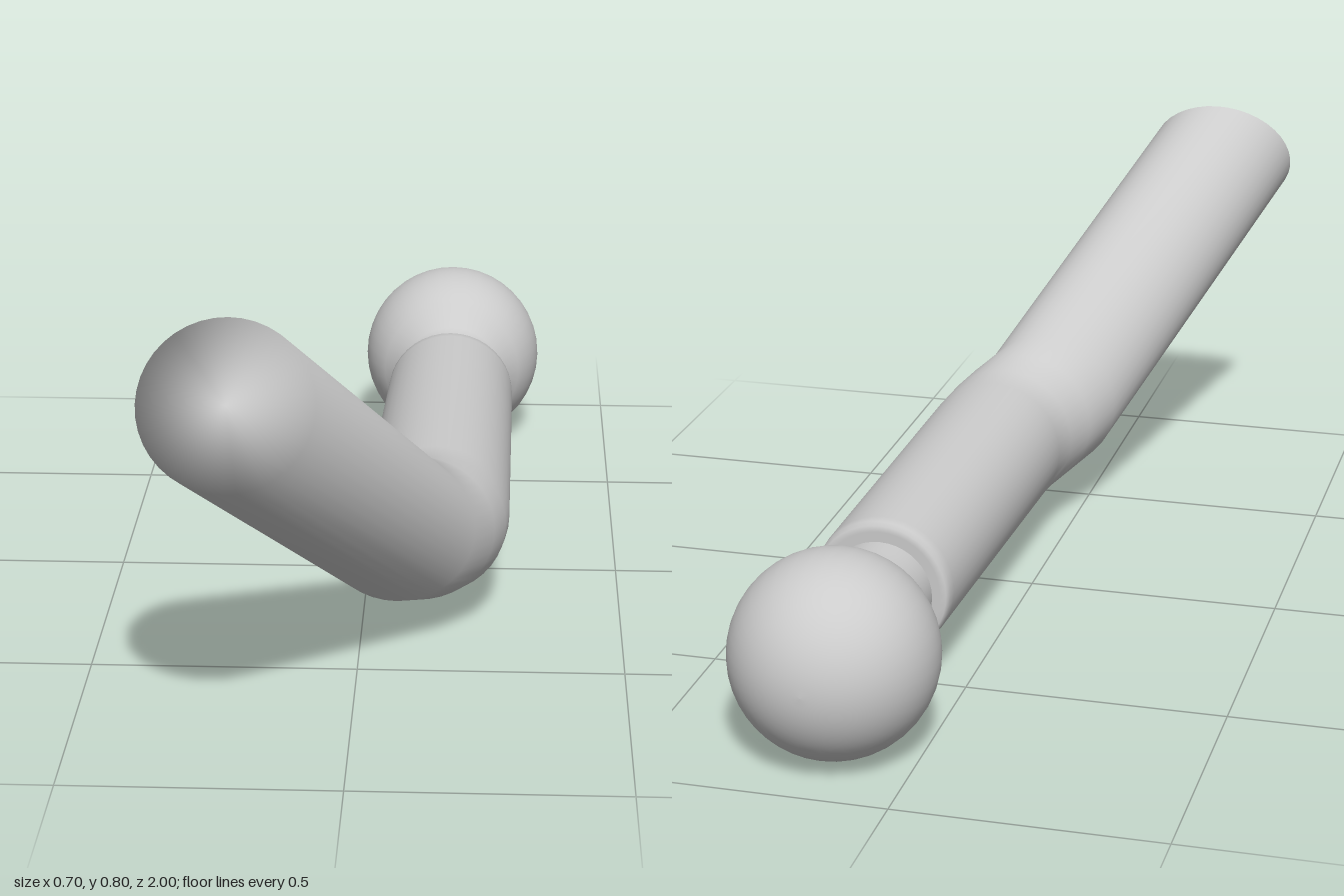
import * as THREE from 'three';

const SIDES = 40;

// Closed tube lofted through rings [x, y, z, radius, tilt], running towards +z
function loft(rings) {
  const pos = [], index = [];
  for (const [x, y, z, r, tilt] of rings) {
    for (let j = 0; j < SIDES; j++) {
      const a = (j / SIDES) * Math.PI * 2;
      const up = r * Math.sin(a);
      pos.push(x + r * Math.cos(a), y + up * Math.cos(tilt), z - up * Math.sin(tilt));
    }
  }
  const last = (rings.length - 1) * SIDES;
  const backCentre = rings.length * SIDES, frontCentre = backCentre + 1;
  pos.push(...rings[0].slice(0, 3), ...rings[rings.length - 1].slice(0, 3));
  for (let j = 0; j < SIDES; j++) {
    const k = (j + 1) % SIDES;
    for (let i = 0; i < last; i += SIDES) {
      index.push(i + j, i + k, i + SIDES + j, i + k, i + SIDES + k, i + SIDES + j);
    }
    index.push(backCentre, k, j, frontCentre, last + j, last + k);
  }
  const geo = new THREE.BufferGeometry();
  geo.setAttribute('position', new THREE.Float32BufferAttribute(pos, 3));
  geo.setIndex(index);
  geo.computeVertexNormals();
  return geo;
}

export function createModel() {
  const group = new THREE.Group();
  group.name = 'bentArmWithBallJoint';
  const material = new THREE.MeshStandardMaterial({ color: 0xcccccc });
  const add = (name, geometry) => {
    const mesh = new THREE.Mesh(geometry, material);
    mesh.name = name;
    group.add(mesh);
    return mesh;
  };

  // Arm: straight sleeve, rounded elbow, slanted flat end
  add('bentArm', loft([
    [0.155, 0.2, -0.53, 0.115, 0],
    [0.155, 0.2, -0.53, 0.127, 0],
    [0.155, 0.2, -0.522, 0.133, 0],
    [0.155, 0.2, -0.5, 0.134, 0],
    [0.14, 0.205, 0.22, 0.142, 0],
    [0.131, 0.21, 0.28, 0.144, 0],
    [0.108, 0.224, 0.34, 0.146, 0],
    [0.07, 0.25, 0.4, 0.147, 0.05],
    [-0.2, 0.673, 0.92, 0.152, 0.55],
  ]));

  // Neck flaring into the ball
  const R = 0.192, ballZ = 0.808;
  const profile = [[0.1, 0.5], [0.1, 0.56], [0.1, 0.61], [0.103, 0.63], [0.11, 0.646]]
    .map(([r, h]) => new THREE.Vector2(r, h));
  const start = Math.acos(0.148 / R);
  for (let i = 0; i <= 24; i++) {
    const a = -Math.PI / 2 + (Math.PI / 2 - start) + (i / 24) * (Math.PI / 2 + start);
    profile.push(new THREE.Vector2(Math.max(0, R * Math.cos(a)), ballZ + R * Math.sin(a)));
  }
  const joint = add('neckAndBall', new THREE.LatheGeometry(profile, SIDES).rotateX(-Math.PI / 2));
  joint.position.set(0.155, 0.195, 0);

  return group;
}
